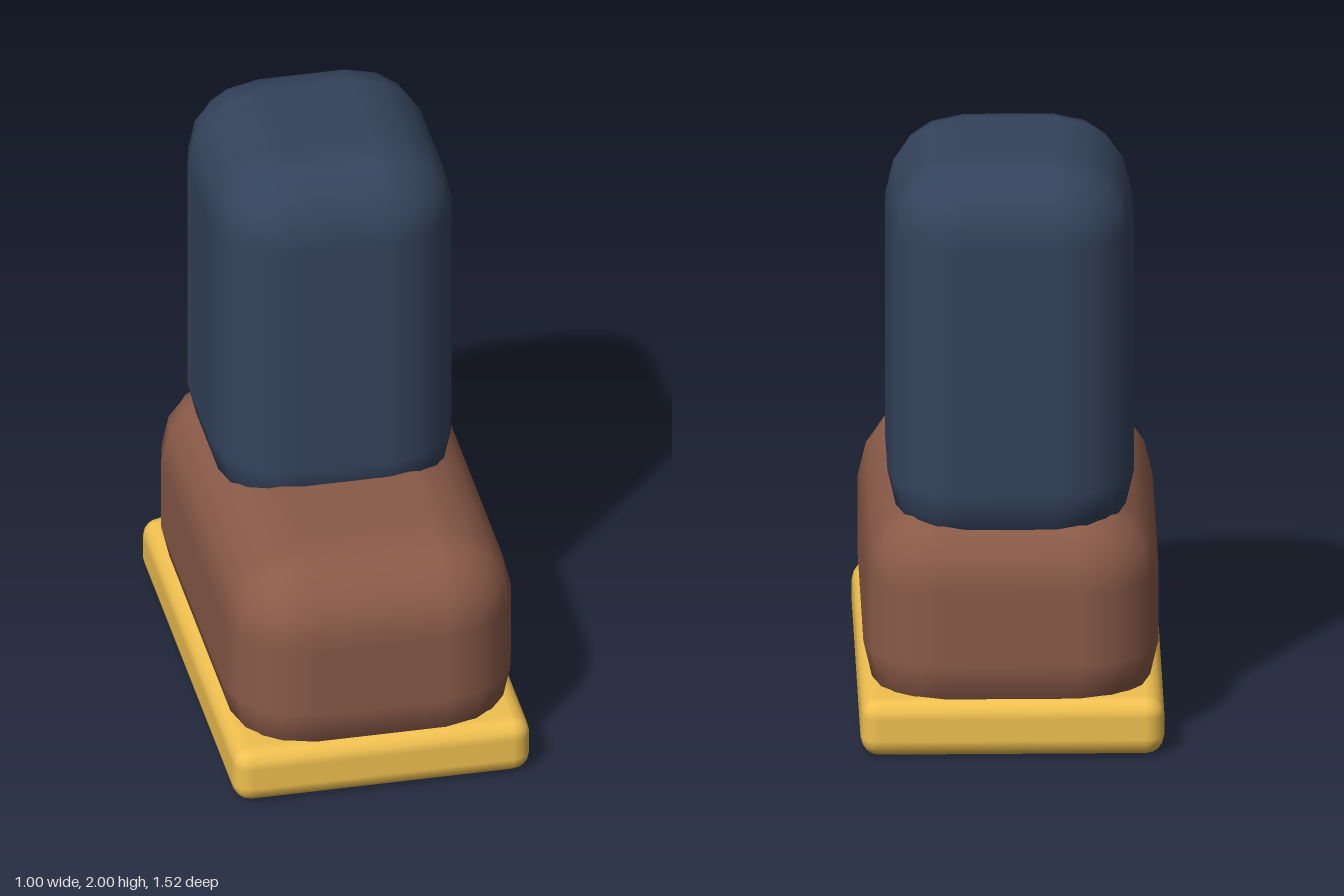
import * as THREE from 'three';
import { RoundedBoxGeometry } from 'three/addons/geometries/RoundedBoxGeometry.js';

// Rounded block given by its min and max corners
function block(name, min, max, segments, radius, color) {
  const size = max.map((v, i) => v - min[i]);
  const mesh = new THREE.Mesh(
    new RoundedBoxGeometry(...size, segments, radius),
    new THREE.MeshStandardMaterial({ color })
  );
  mesh.position.set(...max.map((v, i) => (v + min[i]) / 2));
  mesh.name = name;
  return mesh;
}

export function createModel() {
  const boot = new THREE.Group();
  boot.name = 'boot';
  boot.add(
    // flat sole slab
    block('sole', [-0.5, 0, -0.762], [0.5, 0.197, 0.762], 2, 0.062, 0xf0c050),
    // soft foot, sunk into the sole
    block('foot', [-0.486, 0.05, -0.749], [0.486, 0.832, 0.749], 2, 0.268, 0x8a5a48),
    // trouser leg standing on the heel end
    block('leg', [-0.406, 0.635, -0.7], [0.406, 2, 0.177], 2, 0.26, 0x34435c)
  );
  return boot;
}
